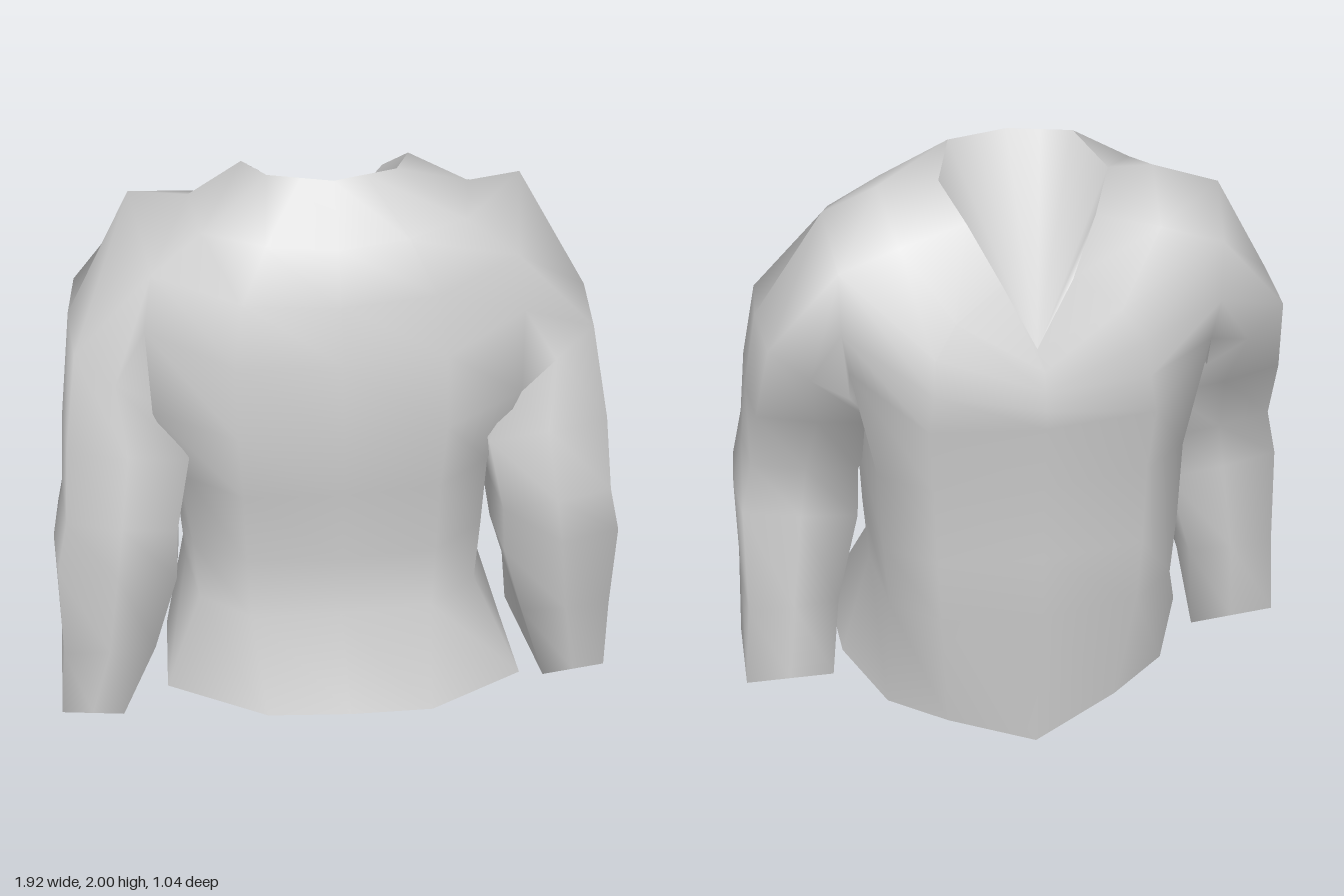
import * as THREE from 'three';

const material = new THREE.MeshStandardMaterial({ color: 0xcccccc, side: THREE.DoubleSide });

function makeMesh(name, points, index) {
  const g = new THREE.BufferGeometry();
  g.setAttribute('position', new THREE.Float32BufferAttribute(points.flat(), 3));
  g.setIndex(index);
  g.computeVertexNormals();
  const mesh = new THREE.Mesh(g, material);
  mesh.name = name;
  return mesh;
}

// Fan closing one ring, with its own vertices so the rim stays sharp
function cap(name, ring, apex, down) {
  const n = ring.length, index = [];
  for (let k = 1; k < n - 1; k++) {
    const b = (apex + k) % n, c = (apex + k + 1) % n;
    index.push(apex, ...(down ? [c, b] : [b, c]));
  }
  return makeMesh(name, ring, index);
}

// Completes a half ring (front centre, +x side, back centre) by mirroring
function mirrorRing(half) {
  return [...half, ...half.slice(1, -1).reverse().map(([x, y, z]) => [-x, y, z])];
}

// Torso half rings from the neckline to the chest
const UPPER = [
  // Neckline with a deep notch at the back
  [[0, 2, 0.1], [0.1, 2, 0.07], [0.2, 2, 0.04], [0.265, 1.95, -0.16],
    [0.2, 1.85, -0.28], [0.11, 1.68, -0.37], [0.02, 1.5, -0.46]],
  // Yoke
  [[0, 1.84, 0.25], [0.22, 1.85, 0.22], [0.41, 1.86, 0.13], [0.44, 1.9, -0.05],
    [0.41, 1.79, -0.28], [0.26, 1.58, -0.405], [0, 1.43, -0.485]],
  // Shoulders, top of the armholes
  [[0, 1.68, 0.315], [0.3, 1.69, 0.29], [0.57, 1.75, 0.18], [0.625, 1.87, -0.15],
    [0.6, 1.74, -0.325], [0.33, 1.48, -0.44], [0, 1.37, -0.505]],
  // Middle of the armholes
  [[0, 1.5, 0.37], [0.33, 1.5, 0.345], [0.6, 1.55, 0.18], [0.6, 1.54, -0.06],
    [0.6, 1.54, -0.33], [0.34, 1.37, -0.465], [0, 1.31, -0.515]],
  // Chest, bottom of the armholes
  [[0, 1.25, 0.41], [0.33, 1.26, 0.385], [0.59, 1.29, 0.25], [0.54, 1.34, -0.02],
    [0.58, 1.4, -0.31], [0.36, 1.25, -0.475], [0, 1.25, -0.52]],
];

// Body section as fractions of half width and depth; y, half width, front z, back z
const SECTION = [[0, 1], [0.6, 0.94], [0.93, 0.6], [1, 0], [0.95, -0.63], [0.65, -0.91], [0, -1]];
const BODY = [[1.02, 0.53, 0.385, -0.485], [0.75, 0.52, 0.37, -0.49], [0.52, 0.505, 0.38, -0.48]];

// Flared hem, dipping at the back
const HEM = [[0, 0.2, 0.52], [0.28, 0.2, 0.51], [0.61, 0.2, 0.34], [0.6, 0.18, -0.02],
  [0.48, 0.13, -0.28], [0.29, 0.09, -0.39], [0, 0, -0.46]];

// Sleeve sections: outer x, y, inner x, y, front z, back z, corner fullness
const SLEEVE = [
  [0.84, 1.50, 0.56, 1.28, 0.23, -0.32, 0.87],
  [0.88, 1.20, 0.47, 1.13, 0.31, -0.18, 0.93],
  [0.90, 0.95, 0.52, 0.89, 0.36, -0.05, 0.93],
  [0.94, 0.78, 0.53, 0.72, 0.36, -0.07, 0.93],
  [0.94, 0.42, 0.62, 0.42, 0.31, -0.11, 0.95],
];

// Cuff corners: front outer, back outer, back inner, front inner
const CUFFS = {
  left: [[0.95, 0.1, 0.25], [0.96, 0.15, -0.14], [0.66, 0.13, -0.12], [0.73, 0.08, 0.26]],
  right: [[0.96, 0.15, 0.35], [0.96, 0.11, -0.02], [0.66, 0.08, -0.01], [0.75, 0.14, 0.37]],
};

// Armhole rim as [ring, column], front over the shoulder to the back and under
const ARMHOLE = [[3, 2], [2, 2], [2, 3], [2, 4], [3, 4], [4, 4], [4, 3], [4, 2]];

function sleeveRing([ox, oy, ix, iy, front, back, k], shift) {
  return [[0, 1], [k, k], [1, 0], [k, -k], [0, -1], [-k, -k], [-1, 0], [-k, k]].map(([u, v]) => [
    (ox + ix) / 2 + u * (ox - ix) / 2,
    (oy + iy) / 2 + u * (oy - iy) / 2,
    (front + back) / 2 + v * (front - back) / 2 + shift,
  ]);
}

// Four corners with the middle of each edge between them
function cuffRing(corners) {
  return corners.flatMap((c, i) => {
    const before = corners[(i + 3) % 4];
    return [c.map((value, k) => (value + before[k]) / 2), c];
  });
}

export function createModel() {
  const group = new THREE.Group();
  group.name = 'jacket';
  const points = [], index = [];

  const addRing = (ring) => ring.map((p) => points.push(p) - 1);
  const bridge = (top, bottom, skip = () => false) => top.forEach((a, j) => {
    if (skip(j)) return;
    const k = (j + 1) % top.length;
    index.push(a, bottom[j], bottom[k], a, bottom[k], top[k]);
  });

  // Torso, left open at the armholes
  const body = BODY.map(([y, w, front, back]) => SECTION.map(
    ([fx, fz]) => [fx * w, y, fz > 0 ? fz * front : -fz * back]));
  const hem = mirrorRing(HEM).map(([x, y, z]) => [x + 0.015, y - 0.045 * x * (z > -0.4 ? 1 : 0), z]);
  const rings = [...[...UPPER, ...body].map(mirrorRing), hem];
  const torso = rings.map(addRing);
  for (let i = 0; i < torso.length - 1; i++) {
    const atArmhole = i === 2 || i === 3;
    bridge(torso[i], torso[i + 1], (j) => atArmhole && [2, 3, 8, 9].includes(j));
  }

  // Sleeves grow out of the armholes; the one on -x swings further forward
  for (const [name, side] of [['left', 1], ['right', -1]]) {
    const orient = (ring) => (side > 0 ? ring : ring.map(([x, y, z]) => [-x, y, z]).reverse());
    const sections = SLEEVE.map((s, i) => sleeveRing(s, side < 0 ? Math.max(0, i - 2) * 0.03 : 0));
    const cuff = orient(cuffRing(CUFFS[name]));
    let above = ARMHOLE.map(([r, c]) => torso[r][side > 0 ? c : 12 - c]);
    if (side < 0) above.reverse();
    for (const ring of [...sections.map(orient), cuff]) {
      const below = addRing(ring);
      bridge(above, below);
      above = below;
    }
    group.add(cap(name + 'Cuff', cuff, 1, true));
  }

  group.add(makeMesh('torsoAndSleeves', points, index));
  group.add(cap('neckOpening', rings[0], 6, false));
  group.add(cap('hem', hem, 0, true));
  return group;
}
